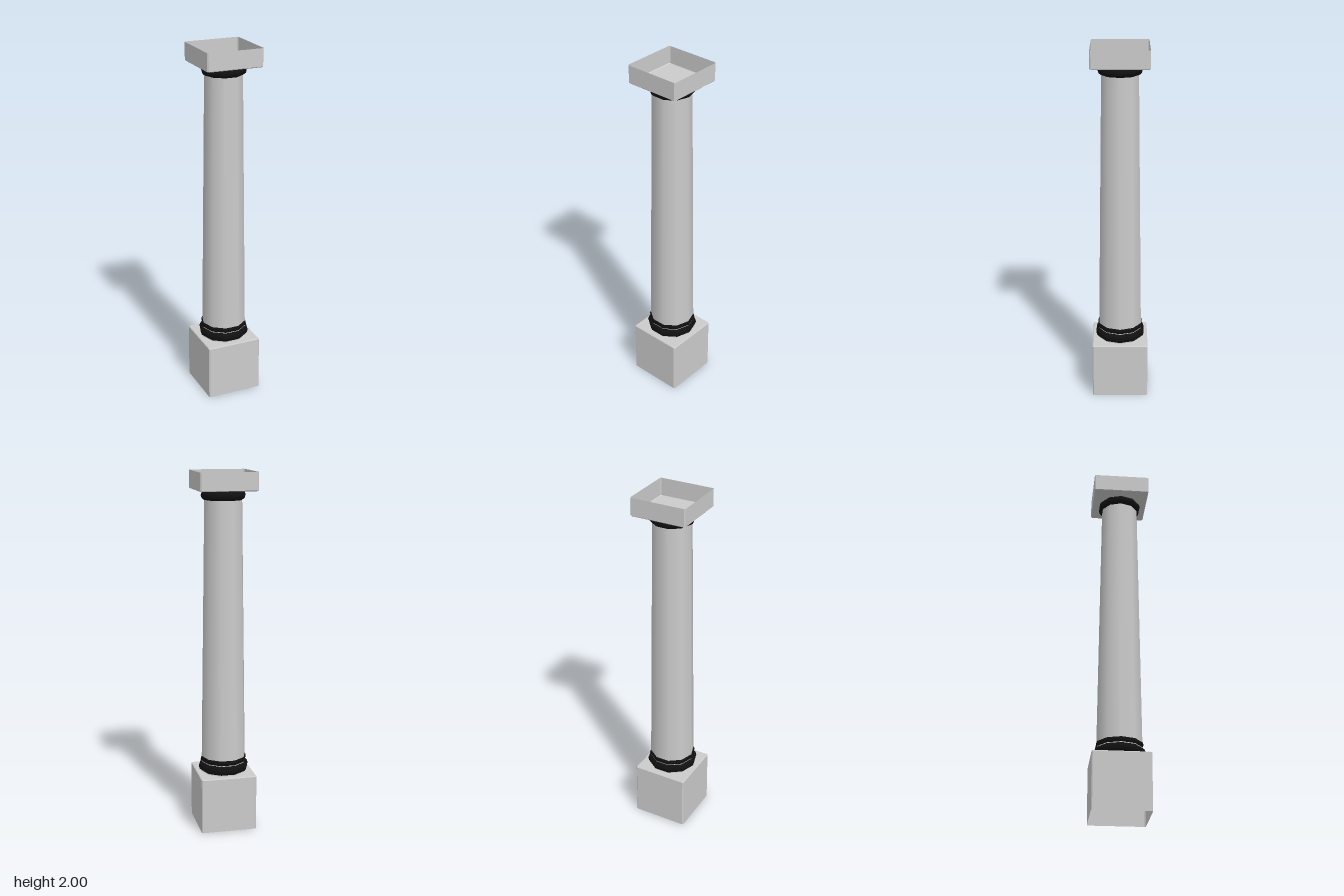
import * as THREE from 'three';

const SIDES = 10;
const stone = new THREE.MeshStandardMaterial({ color: 0xcccccc });
const blockStone = new THREE.MeshStandardMaterial({ color: 0xcccccc, side: THREE.DoubleSide });
const dark = new THREE.MeshStandardMaterial({ color: 0x111111 });

// Square ring with trimmed corners, counter-clockwise seen from above
function squareRing(half, y) {
  const c = Math.min(0.006, half);
  const ring = [];
  for (let k = 0; k < 4; k++) {
    for (const [a, b] of [[half, half - c], [half - c, half]]) {
      const [cs, sn] = [[1, 0], [0, 1], [-1, 0], [0, -1]][k];
      ring.push([a * cs - b * sn, y, -(a * sn + b * cs)]);
    }
  }
  return ring;
}

// Hollow block skinned through [half width, height] steps, listed upwards
function hollowBlock(name, steps) {
  const rings = steps.map(([half, y]) => squareRing(half, y));
  const pos = [];
  for (let r = 0; r < rings.length - 1; r++) {
    for (let i = 0; i < 8; i++) {
      const j = (i + 1) % 8;
      const [a, b, c, d] = [rings[r][i], rings[r][j], rings[r + 1][j], rings[r + 1][i]];
      if (steps[r][0] > 0) pos.push(...a, ...b, ...c);
      if (steps[r + 1][0] > 0) pos.push(...a, ...c, ...d);
      else if (steps[r][0] <= 0) continue;
    }
  }
  const geo = new THREE.BufferGeometry();
  geo.setAttribute('position', new THREE.Float32BufferAttribute(pos, 3));
  geo.computeVertexNormals();
  const mesh = new THREE.Mesh(geo, blockStone);
  mesh.name = name;
  return mesh;
}

// Round moulding around the shaft
function moulding(name, outer, tube, y) {
  const geo = new THREE.TorusGeometry(outer - tube, tube, 10, SIDES).rotateX(-Math.PI / 2);
  const mesh = new THREE.Mesh(geo, dark);
  mesh.name = name;
  mesh.position.y = y;
  return mesh;
}

export function createModel() {
  const column = new THREE.Group();
  column.name = 'column';

  // Plinth, open underneath
  column.add(hollowBlock('plinth', [[0.157, 0], [0.157, 0.311], [0.153, 0.315], [0, 0.315]]));

  // Tapered shaft
  const shaft = new THREE.Mesh(
    new THREE.CylinderGeometry(0.104, 0.127, 1.585, SIDES, 1, false, Math.PI / 2), stone);
  shaft.name = 'shaft';
  shaft.position.y = 0.315 + 1.585 / 2;
  column.add(shaft);

  // Mouldings at foot and neck
  column.add(
    moulding('lowerBaseRing', 0.143, 0.031, 0.346),
    moulding('upperBaseRing', 0.132, 0.021, 0.39),
    moulding('neckRing', 0.124, 0.027, 1.873));

  // Capital slab, open on top
  column.add(hollowBlock('capital', [[0, 1.9], [0.153, 1.9], [0.157, 1.904], [0.157, 2]]));

  return column;
}
